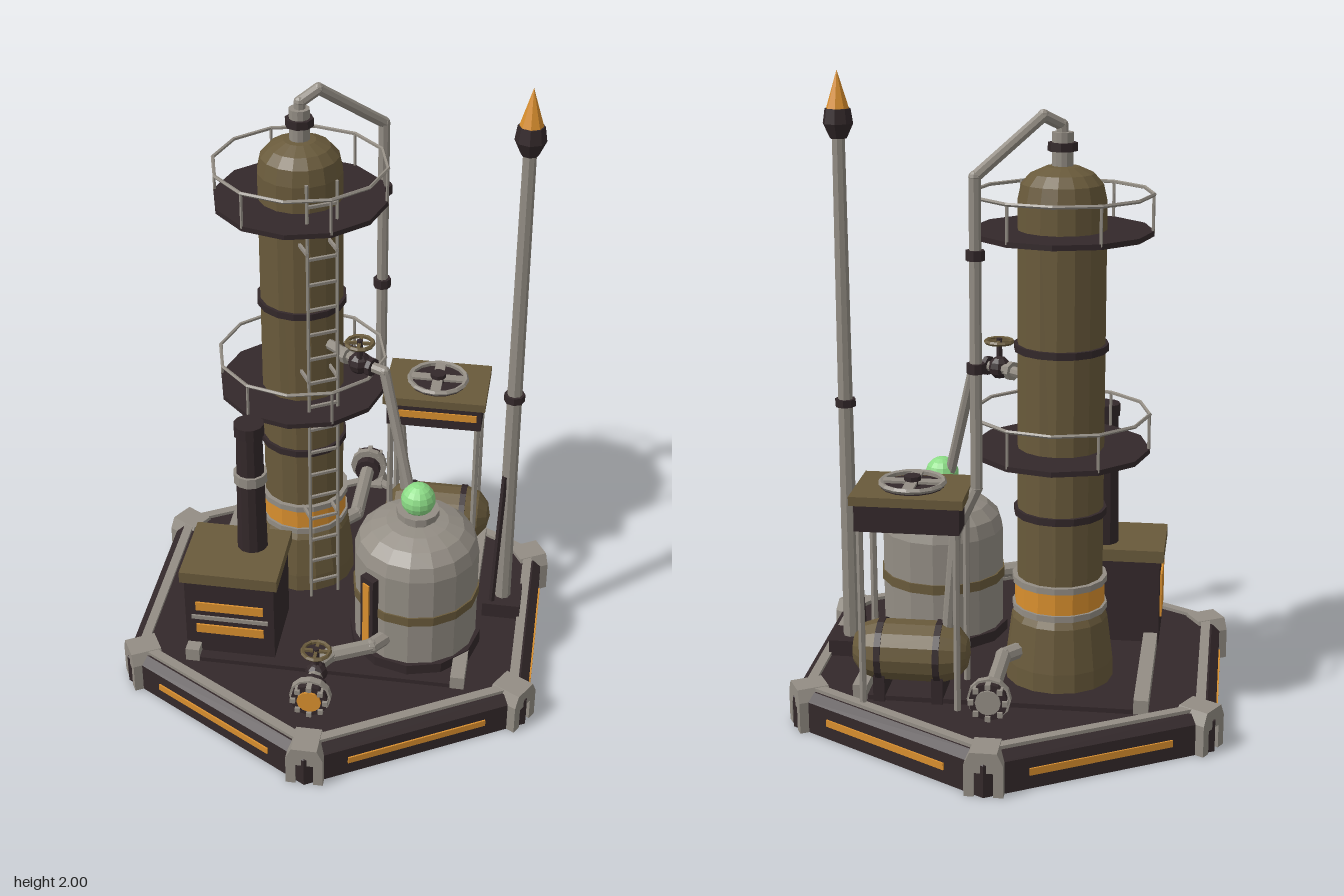
import * as THREE from 'three';

const paint = (name, color) => {
  const m = new THREE.MeshStandardMaterial({ color });
  m.name = name;
  return m;
};
const V = (x, y, z) => new THREE.Vector3(x, y, z);

export function createModel() {
  const dark = paint('dark iron', 0x33282a);
  const gray = paint('pale steel', 0x938d84);
  const brown = paint('olive bronze', 0x695a3b);
  const orange = paint('amber', 0xd98f2e);
  const green = paint('green glass', 0x8cdc86);

  const model = new THREE.Group();
  model.name = 'refinery';
  let parent = model;

  // Begin a named group; following parts are added to it
  const section = (name, x = 0, y = 0, z = 0, turn = 0) => {
    parent = new THREE.Group();
    parent.name = name;
    parent.position.set(x, y, z);
    parent.rotation.y = turn;
    model.add(parent);
  };
  // Faceted mesh
  const add = (name, geo, mat, x = 0, y = 0, z = 0) => {
    const g = geo.index ? geo.toNonIndexed() : geo;
    g.computeVertexNormals();
    const m = new THREE.Mesh(g, mat);
    m.name = name;
    m.position.set(x, y, z);
    parent.add(m);
    return m;
  };
  const box = (name, mat, w, h, d, x, y, z) => add(name, new THREE.BoxGeometry(w, h, d), mat, x, y, z);
  // Upright cylinder from y0 to y1
  const cyl = (name, mat, r0, r1, y0, y1, x = 0, z = 0, n = 12) =>
    add(name, new THREE.CylinderGeometry(r1, r0, y1 - y0, n), mat, x, (y0 + y1) / 2, z);
  const ball = (name, mat, r, x, y, z, n = 8) => add(name, new THREE.SphereGeometry(r, n, Math.max(6, n * 0.7 | 0)), mat, x, y, z);
  const rod = (name, mat, a, b, r, n = 8) => {
    const d = b.clone().sub(a);
    const m = add(name, new THREE.CylinderGeometry(r, r, d.length(), n), mat);
    m.position.copy(a).addScaledVector(d, 0.5);
    m.quaternion.setFromUnitVectors(V(0, 1, 0), d.normalize());
    return m;
  };
  // Pipe run with elbow joints
  const pipe = (name, mat, pts, r) => pts.forEach((p, i) => {
    if (i) rod(name, mat, pts[i - 1], p, r);
    if (i && i < pts.length - 1) ball(name + 'Elbow', mat, r * 1.04, p.x, p.y, p.z);
  });
  const lathe = (name, mat, pts, n) =>
    add(name, new THREE.LatheGeometry(pts.map(p => new THREE.Vector2(...p)), n), mat);
  const ring = (name, mat, r, t, x, y, z, n = 12) => {
    const m = add(name, new THREE.TorusGeometry(r, t, 5, n), mat, x, y, z);
    m.rotation.x = Math.PI / 2;
    return m;
  };
  const handwheel = (x, y, z, r, stem) => {
    cyl('valveStem', dark, 0.01, 0.01, y - stem, y + 0.01, x, z, 6);
    ring('handwheel', brown, r, 0.007, x, y, z);
    box('wheelSpoke', brown, r * 2, 0.008, 0.01, x, y, z);
    box('wheelSpoke', brown, 0.01, 0.008, r * 2, x, y, z);
  };

  // Hexagonal base with trim, light strips and corner feet
  section('base');
  cyl('baseSlab', dark, 0.755, 0.755, 0, 0.1, 0, 0, 6);
  cyl('baseBevel', dark, 0.755, 0.725, 0.1, 0.125, 0, 0, 6);
  box('deckPlate', dark, 0.86, 0.02, 0.8, 0.02, 0.13, -0.015);
  const foot = new THREE.Shape([[-0.058, 0], [-0.058, 0.1], [-0.04, 0.138], [0.04, 0.138], [0.058, 0.1],
    [0.058, 0], [0.028, 0], [0.028, 0.075], [-0.028, 0.075], [-0.028, 0]].map(p => new THREE.Vector2(...p)));
  for (let i = 0; i < 6; i++) {
    const a = i * Math.PI / 3;
    section('baseCorner', 0, 0, 0, a);
    add('cornerFoot', new THREE.ExtrudeGeometry(foot, { depth: 0.1, bevelEnabled: false }), gray, 0, 0, 0.65);
    section('baseSide', 0, 0, 0, a + Math.PI / 6);
    box('lightStrip', orange, 0.465, 0.022, 0.008, 0, 0.055, 0.655);
    box('deckTrim', gray, 0.66, 0.014, 0.03, 0, 0.129, 0.607);
  }
  section('skid');
  for (const x of [-0.43, 0.43]) box('skidRail', gray, 0.045, 0.045, 0.81, x, 0.15, -0.015);

  // Distillation column
  section('column', -0.157, 0, -0.168);
  lathe('columnShell', brown, [[0, 0.12], [0.17, 0.12], [0.168, 0.2], [0.15, 0.34], [0.133, 0.37], [0.133, 1.64],
    [0.122, 1.69], [0.095, 1.72], [0.05, 1.74], [0, 1.745]], 16);
  cyl('amberBand', orange, 0.14, 0.14, 0.385, 0.455, 0, 0, 16);
  for (const y of [0.375, 0.465]) cyl('bandRim', gray, 0.148, 0.148, y - 0.01, y + 0.01, 0, 0, 16);
  for (const y of [0.685, 1.2]) cyl('columnHoop', dark, 0.143, 0.143, y - 0.011, y + 0.011, 0, 0, 16);
  cyl('topNozzle', gray, 0.032, 0.032, 1.73, 1.84);
  cyl('nozzleFlange', dark, 0.044, 0.044, 1.785, 1.81, 0, 0, 8);
  for (const y of [0.88, 1.547]) {
    cyl('walkway', dark, 0.272, 0.272, y - 0.008, y + 0.008);
    ring('guardRail', gray, 0.27, 0.006, 0, y + 0.115, 0);
    for (let i = 0; i < 6; i++) {
      const a = (i + 0.5) * Math.PI / 3;
      cyl('railPost', gray, 0.005, 0.005, y, y + 0.115, 0.268 * Math.sin(a), 0.268 * Math.cos(a), 5);
    }
  }
  section('ladder', -0.157, 0, -0.168, Math.PI / 6);
  for (const x of [-0.048, 0.048]) {
    cyl('ladderRail', gray, 0.006, 0.006, 0.13, 1.68, x, 0.19, 5);
    for (const y of [0.47, 1.0, 1.45]) box('ladderBracket', gray, 0.008, 0.012, 0.08, x, y, 0.155);
  }
  for (let y = 0.2; y < 1.66; y += 0.088) box('rung', gray, 0.096, 0.009, 0.009, 0, y, 0.19);

  // Overhead vapour pipe
  section('overheadPipe');
  pipe('vapourPipe', gray, [V(-0.157, 1.82, -0.168), V(-0.155, 1.86, -0.168), V(-0.105, 1.89, -0.205), V(0.075, 1.73, -0.35),
    V(0.075, 0.8, -0.35), V(0.14, 0.66, -0.355), V(0.17, 0.3, -0.355)], 0.018);
  for (const y of [1.17, 1.505]) cyl('pipeCollar', dark, 0.028, 0.028, y - 0.015, y + 0.015, 0.075, -0.35, 8);

  // Domed storage tank
  section('tank', 0.265, 0, 0.147);
  cyl('tankPlinth', dark, 0.215, 0.215, 0.12, 0.175);
  lathe('tankShell', gray, [[0.2, 0.17], [0.2, 0.5], [0.186, 0.545], [0.15, 0.58], [0.1, 0.6], [0, 0.612]], 16);
  cyl('tankBand', brown, 0.205, 0.205, 0.33, 0.362, 0, 0, 16);
  cyl('tankNeck', gray, 0.052, 0.052, 0.59, 0.64);
  cyl('neckFlange', gray, 0.068, 0.068, 0.622, 0.645);
  ball('glassBulb', green, 0.055, 0, 0.68, 0, 14);
  section('levelGauge', 0.265, 0, 0.147, -0.66);
  box('gaugeBack', dark, 0.055, 0.28, 0.025, 0, 0.34, 0.21);
  box('gaugeGlass', orange, 0.026, 0.24, 0.006, 0, 0.34, 0.225);

  // Transfer pipe from column to tank
  section('transferPipe');
  pipe('transferLine', gray, [V(-0.06, 1.08, -0.09), V(0.055, 1.08, 0.005), V(0.14, 1.08, 0.05), V(0.24, 0.67, 0.13)], 0.017);
  ball('valveBody', dark, 0.036, 0.055, 1.08, 0.01);
  rod('valveFlange', gray, V(0.005, 1.08, -0.035), V(0.018, 1.08, -0.025), 0.03);
  rod('valveFlange', dark, V(0.088, 1.08, 0.025), V(0.102, 1.08, 0.032), 0.03);
  handwheel(0.058, 1.16, 0.024, 0.042, 0.08);

  // Front outlet and rear inlet, each with a bolted flange
  const flangedEnd = (name, s, pts, face) => {
    section(name);
    pipe('processPipe', gray, pts, 0.025);
    const disc = (n, mat, r, z0, z1, k = 12) => rod(n, mat, V(0, 0.25, s * z0), V(0, 0.25, s * z1), r, k);
    disc('flangeCollar', dark, 0.045, 0.575, 0.605);
    disc('flange', gray, 0.065, 0.61, 0.632);
    disc('coverFlange', dark, 0.058, 0.632, 0.65);
    disc('coverFace', face, 0.038, 0.65, 0.656);
    for (let i = 0; i < 8; i++) {
      const a = i * Math.PI / 4;
      box('bolt', gray, 0.016, 0.016, 0.05, 0.05 * Math.cos(a), 0.25 + 0.05 * Math.sin(a), s * 0.634);
    }
  };
  flangedEnd('frontOutlet', 1, [V(0.22, 0.25, 0.28), V(0.15, 0.25, 0.37), V(0.03, 0.25, 0.43), V(0, 0.25, 0.48), V(0, 0.25, 0.62)], orange);
  ball('valveBody', dark, 0.036, 0, 0.25, 0.515);
  handwheel(0, 0.335, 0.515, 0.043, 0.08);
  flangedEnd('rearInlet', -1, [V(-0.1, 0.25, -0.2), V(0, 0.25, -0.32), V(0, 0.25, -0.62)], gray);

  // Horizontal drum beneath the cooler
  section('drum', 0.28, 0.27, -0.355);
  const shell = lathe('drumShell', brown, [[0, -0.185], [0.045, -0.175], [0.08, -0.145], [0.095, -0.1], [0.095, 0.1],
    [0.08, 0.145], [0.045, 0.175], [0, 0.185]], 14);
  shell.rotation.z = Math.PI / 2;
  for (const x of [-0.09, 0.09]) {
    rod('drumStrap', dark, V(x - 0.01, 0, 0), V(x + 0.01, 0, 0), 0.099, 14);
    box('drumSaddle', dark, 0.035, 0.1, 0.14, x, -0.1, 0);
  }

  // Raised fan cooler
  section('cooler', 0.267, 0, -0.358);
  for (const x of [-0.145, 0.145]) for (const z of [-0.095, 0.095]) cyl('coolerLeg', gray, 0.011, 0.011, 0.12, 0.7, x, z, 6);
  box('coolerBody', dark, 0.315, 0.085, 0.225, 0, 0.733, 0);
  box('coolerTop', brown, 0.34, 0.028, 0.25, 0, 0.788, 0);
  box('coolerStrip', orange, 0.285, 0.025, 0.006, 0, 0.738, 0.114);
  cyl('fanWell', dark, 0.095, 0.095, 0.8, 0.806, 0, 0, 16);
  ring('fanRing', gray, 0.095, 0.009, 0, 0.815, 0, 16);
  for (const [w, d] of [[0.18, 0.034], [0.034, 0.18]]) box('fanBlade', gray, w, 0.008, d, 0, 0.817, 0);
  cyl('fanHub', dark, 0.026, 0.026, 0.805, 0.835, 0, 0, 8);

  // Furnace with chimney
  section('furnace', -0.311, 0, 0.223);
  box('furnaceBody', dark, 0.29, 0.3, 0.25, 0, 0.28, 0);
  box('furnaceRoof', brown, 0.315, 0.04, 0.27, 0, 0.44, 0);
  for (const y of [0.235, 0.325]) box('furnaceGlow', orange, 0.22, 0.032, 0.008, 0, y, 0.127);
  box('furnaceGrille', gray, 0.25, 0.014, 0.008, 0, 0.28, 0.127);
  box('sidePanel', orange, 0.009, 0.15, 0.15, -0.147, 0.285, 0);
  cyl('chimney', dark, 0.05, 0.042, 0.45, 0.9, 0.045, -0.048);
  cyl('chimneyCollar', gray, 0.054, 0.054, 0.715, 0.75, 0.045, -0.048);
  cyl('chimneyLip', dark, 0.048, 0.048, 0.89, 0.93, 0.045, -0.048);

  // Flare stack
  section('flareStack', 0.538, 0, -0.047);
  box('stackFoot', dark, 0.125, 0.055, 0.125, 0, 0.15, 0);
  cyl('stackPole', gray, 0.027, 0.02, 0.17, 1.81, 0, 0, 8);
  cyl('stackCollar', dark, 0.033, 0.033, 0.953, 0.977, 0, 0, 8);
  rod('stackBrace', dark, V(-0.034, 0.15, 0.04), V(-0.014, 0.67, 0.016), 0.01, 5);
  cyl('burnerCup', dark, 0.026, 0.047, 1.795, 1.84, 0, 0, 8);
  cyl('burnerRim', dark, 0.047, 0.04, 1.84, 1.885, 0, 0, 8);
  add('flame', new THREE.ConeGeometry(0.037, 0.12, 8), orange, 0, 1.94, 0);

  return model;
}
